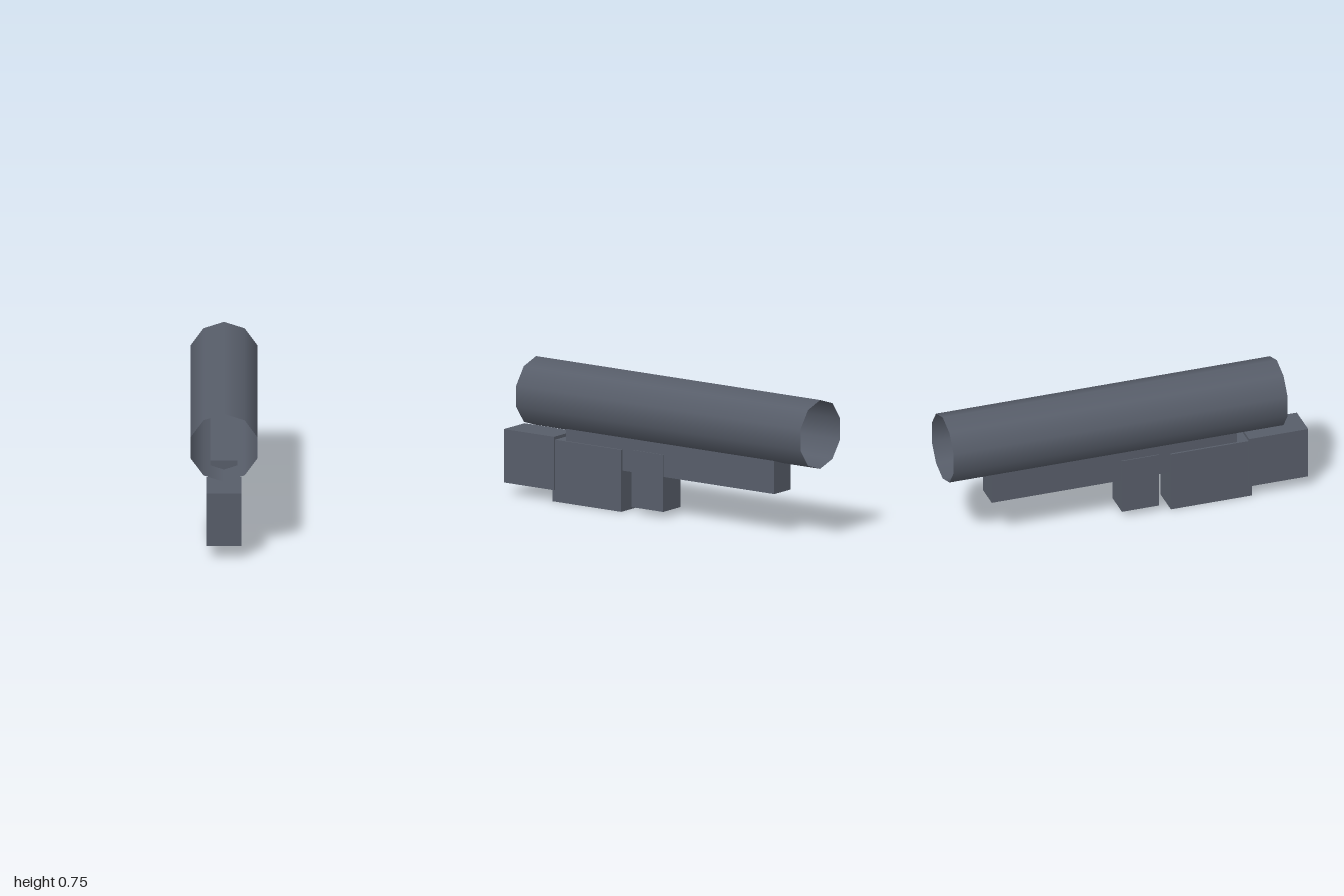
import * as THREE from 'three';

export function createModel() {
  const model = new THREE.Group();
  model.name = 'launchTube';

  const steel = new THREE.MeshStandardMaterial({ color: 0x575d69, side: THREE.DoubleSide });
  steel.name = 'slate grey';

  // Open ten-sided tube running front to back
  const tubeGeometry = new THREE.CylinderGeometry(0.185, 0.185, 1.857, 10, 1, true);
  tubeGeometry.rotateX(Math.PI / 2);
  const tube = new THREE.Mesh(tubeGeometry, steel);
  tube.name = 'tube';
  tube.position.set(0, 0.56, -0.0715);
  model.add(tube);

  // Box centred on x, given by its half width and its y and z ranges
  function addBlock(name, halfWidth, y0, y1, z0, z1) {
    const block = new THREE.Mesh(new THREE.BoxGeometry(halfWidth * 2, y1 - y0, z1 - z0), steel);
    block.name = name;
    block.position.set(0, (y0 + y1) / 2, (z0 + z1) / 2);
    model.add(block);
  }

  // Rail under the tube, its top edges reaching inside
  addBlock('rail', 0.0715, 0.22, 0.424, -0.752, 0.61);
  // Sight housing at the front
  addBlock('frontHousing', 0.0915, 0.063, 0.35, 0.672, 1);
  addBlock('rearHousing', 0.082, 0, 0.333, 0.24, 0.69);
  // Hand grip
  addBlock('grip', 0.077, 0.033, 0.34, -0.03, 0.176);

  return model;
}
